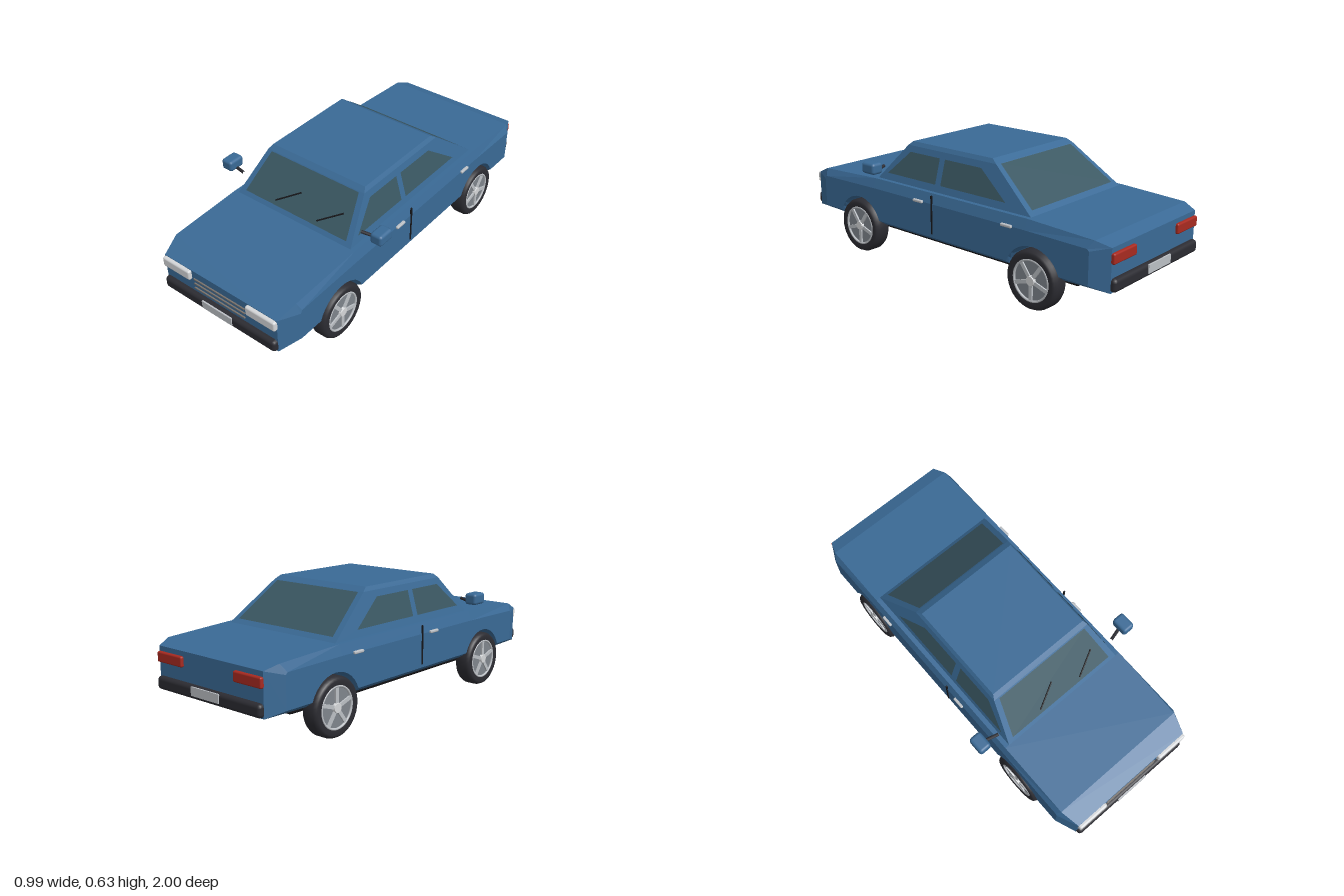
import * as THREE from 'three';
import { RoundedBoxGeometry } from 'three/addons/geometries/RoundedBoxGeometry.js';
import { toCreasedNormals } from 'three/addons/utils/BufferGeometryUtils.js';

const mat = (name, color, side = THREE.FrontSide) => {
  const m = new THREE.MeshStandardMaterial({ color, side });
  m.name = name;
  return m;
};

// Flat-faced skin through matching rings, capped at the ends by the given triangles
function loft(rings, capTris, capFirst) {
  const pos = [];
  const tri = (...pts) => pts.forEach((p) => pos.push(...p));
  for (let i = 0; i < rings.length - 1; i++) {
    const r = rings[i], s = rings[i + 1], n = r.length;
    for (let j = 0; j < n; j++) {
      const k = (j + 1) % n;
      tri(r[j], r[k], s[k]);
      tri(r[j], s[k], s[j]);
    }
  }
  const first = rings[0], last = rings[rings.length - 1];
  for (const [a, b, c] of capTris) {
    tri(last[a], last[b], last[c]);
    if (capFirst) tri(first[a], first[c], first[b]);
  }
  const g = new THREE.BufferGeometry();
  g.setAttribute('position', new THREE.Float32BufferAttribute(pos, 3));
  g.computeVertexNormals();
  return g;
}

// Thin flat panel from coplanar corners
function panel(pts) {
  const pos = [];
  for (let i = 1; i < pts.length - 1; i++) pos.push(...pts[0], ...pts[i], ...pts[i + 1]);
  const g = new THREE.BufferGeometry();
  g.setAttribute('position', new THREE.Float32BufferAttribute(pos, 3));
  g.computeVertexNormals();
  return g;
}

// Straight round bar between two points
function rod(a, b, r) {
  const A = new THREE.Vector3(...a), B = new THREE.Vector3(...b);
  return new THREE.TubeGeometry(new THREE.LineCurve3(A, B), 1, r, 8);
}

const WHEEL_Z = [0.585, -0.58], WHEEL_Y = 0.143;

function bodyGeometry() {
  // Each entry: z, y, x of the full outline, then z, y of the inset side face
  const pts = [
    [-0.97, 0.175, 0.345, -0.885, 0.2],
    [-0.97, 0.38, 0.345, -0.885, 0.355],
    [-0.9, 0.403, 0.37, -0.875, 0.365],
    [-0.54, 0.42, 0.373, -0.54, 0.37],
    [0.47, 0.42, 0.373, 0.47, 0.37],
    [0.87, 0.402, 0.37, 0.855, 0.365],
    [0.97, 0.36, 0.345, 0.865, 0.35],
    [0.97, 0.175, 0.345, 0.865, 0.2],
  ];
  // Wheel arches, front then rear
  const R = 0.16, steps = 14;
  for (const wz of WHEEL_Z) {
    for (let i = 0; i <= steps; i++) {
      const at = (y) => {
        const s = Math.asin((y - WHEEL_Y) / R);
        const a = s + (Math.PI - 2 * s) * (i / steps);
        return [wz + R * Math.cos(a), WHEEL_Y + R * Math.sin(a)];
      };
      pts.push([...at(0.175), 0.355, ...at(0.2)]);
    }
  }
  const inner = (s) => pts.map((p) => [s * 0.39, p[4], p[3]]);
  const outer = (s) => pts.map((p) => [s * p[2], p[1], p[0]]);
  const tris = THREE.ShapeUtils.triangulateShape(pts.map((p) => new THREE.Vector2(-p[3], p[4])), []);
  return loft([inner(-1), outer(-1), outer(1), inner(1)], tris, true);
}

function cabinGeometry() {
  const ring = (y, x, zf, zr) => [[-x, y, zf], [x, y, zf], [x, y, zr], [-x, y, zr]];
  return loft([
    ring(0.415, 0.351, 0.475, -0.547),
    ring(0.61, 0.295, 0.298, -0.287),
    ring(0.63, 0.282, 0.275, -0.255),
  ], [[0, 1, 2], [0, 2, 3]], false);
}

export function createModel() {
  const car = new THREE.Group();
  car.name = 'car';
  const paint = mat('blue paint', 0x3a6a96);
  const glass = mat('tinted glass', 0x3a5762, THREE.DoubleSide);
  const rubber = mat('dark rubber', 0x2c2c32);
  const black = mat('black underside', 0x18181b);
  const silver = mat('silver', 0xbcc0c5);
  const rimGrey = mat('rim grey', 0x7f858c);
  const lamp = mat('lamp white', 0xd6d8da);
  const red = mat('tail light red', 0xa82a20);
  const slatGrey = mat('slat grey', 0x77726e);

  const add = (name, geo, material, x = 0, y = 0, z = 0, parent = car) => {
    const m = new THREE.Mesh(geo, material);
    m.name = name;
    m.position.set(x, y, z);
    parent.add(m);
    return m;
  };
  const rbox = (w, h, d, r) => new RoundedBoxGeometry(w, h, d, 2, r);
  const box = (w, h, d) => new THREE.BoxGeometry(w, h, d);

  add('body', bodyGeometry(), paint);
  add('cabin', cabinGeometry(), paint);
  add('floorPan', rbox(0.58, 0.05, 1.53, 0.018), black, 0, 0.153, 0);

  // Windows lie just above the sloping cabin faces
  const t = (y) => (y - 0.415) / 0.195;
  const frontZ = (y) => 0.475 - 0.177 * t(y) + 0.004;
  const rearZ = (y) => -0.547 + 0.26 * t(y) - 0.004;
  const sideX = (y) => 0.351 - 0.056 * t(y) + 0.004;
  const screen = (zAt) => panel([[-0.313, 0.44], [0.313, 0.44], [0.268, 0.608], [-0.268, 0.608]]
    .map(([x, y]) => [x, y, zAt(y)]));
  add('windshield', screen(frontZ), glass);
  add('rearWindow', screen(rearZ), glass);

  // Wipers
  for (const x of [-0.127, 0.128]) {
    add('wiper', rod([x, 0.46, frontZ(0.46) + 0.006], [x + 0.118, 0.525, frontZ(0.525) + 0.006], 0.004), black);
  }

  // Parts repeated on both sides
  for (const s of [1, -1]) {
    const sideWindow = (pts) => panel(pts.map(([z, y]) => [s * sideX(y), y, z]));
    add('frontSideWindow', sideWindow([[0.405, 0.455], [0.27, 0.58], [0.065, 0.58], [0.065, 0.455]]), glass);
    add('rearSideWindow', sideWindow([[0.03, 0.455], [0.03, 0.58], [-0.205, 0.58], [-0.385, 0.455]]), glass);

    add('doorGap', box(0.008, 0.195, 0.008), black, s * 0.39, 0.315, 0.045);
    for (const z of [0.137, -0.433]) {
      add('doorHandle', rbox(0.018, 0.014, 0.064, 0.005), silver, s * 0.392, 0.37, z);
    }

    add('mirror', rbox(0.066, 0.058, 0.09, 0.015), paint, s * 0.461, 0.508, 0.39);
    add('mirrorArm', rod([s * 0.365, 0.495, 0.41], [s * 0.435, 0.486, 0.39], 0.008), rubber);

    add('headlight', rbox(0.174, 0.053, 0.04, 0.01), lamp, s * 0.259, 0.331, 0.968);
    add('tailLight', rbox(0.174, 0.05, 0.035, 0.008), red, s * 0.259, 0.331, -0.968);
  }

  // Bumpers and number plates at both ends
  for (const s of [1, -1]) {
    add('bumper', rbox(0.69, 0.062, 0.05, 0.018), rubber, 0, 0.21, s * 0.97);
    add('numberPlate', box(0.184, 0.042, 0.008), silver, 0, 0.218, s * 0.996);
  }

  // Grille slats
  for (const y of [0.318, 0.292, 0.265]) {
    add('grilleSlat', box(0.314, 0.006, 0.01), slatGrey, 0, y, 0.972);
  }

  // Wheels, built with the axle along y and then turned outwards
  const tyreProfile = [[0.1, -0.04], [0.125, -0.045], [0.135, -0.04], [0.142, -0.025], [0.142, 0.025],
    [0.135, 0.04], [0.125, 0.045], [0.1, 0.04], [0.1, -0.04]].map(([r, y]) => new THREE.Vector2(r, y));
  const tyre = toCreasedNormals(new THREE.LatheGeometry(tyreProfile, 36), 0.7);
  const disc = new THREE.CylinderGeometry(0.101, 0.101, 0.066, 32);
  const rimRing = new THREE.TorusGeometry(0.098, 0.006, 8, 36).rotateX(Math.PI / 2);
  const hub = new THREE.CylinderGeometry(0.022, 0.026, 0.014, 16);
  for (const s of [1, -1]) {
    for (const z of WHEEL_Z) {
      const wheel = new THREE.Group();
      wheel.name = 'wheel';
      wheel.position.set(s * 0.356, WHEEL_Y, z);
      wheel.rotation.z = -s * Math.PI / 2;
      car.add(wheel);
      add('tyre', tyre, rubber, 0, 0, 0, wheel);
      add('rimDisc', disc, rimGrey, 0, 0, 0, wheel);
      add('rimRing', rimRing, silver, 0, 0.037, 0, wheel);
      add('hub', hub, lamp, 0, 0.039, 0, wheel);
      for (let i = 0; i < 5; i++) {
        const a = (i / 5) * Math.PI * 2;
        const spoke = add('spoke', box(0.08, 0.01, 0.018), silver, 0.057 * Math.cos(a), 0.036, -0.057 * Math.sin(a), wheel);
        spoke.rotation.y = a;
      }
    }
  }
  return car;
}
